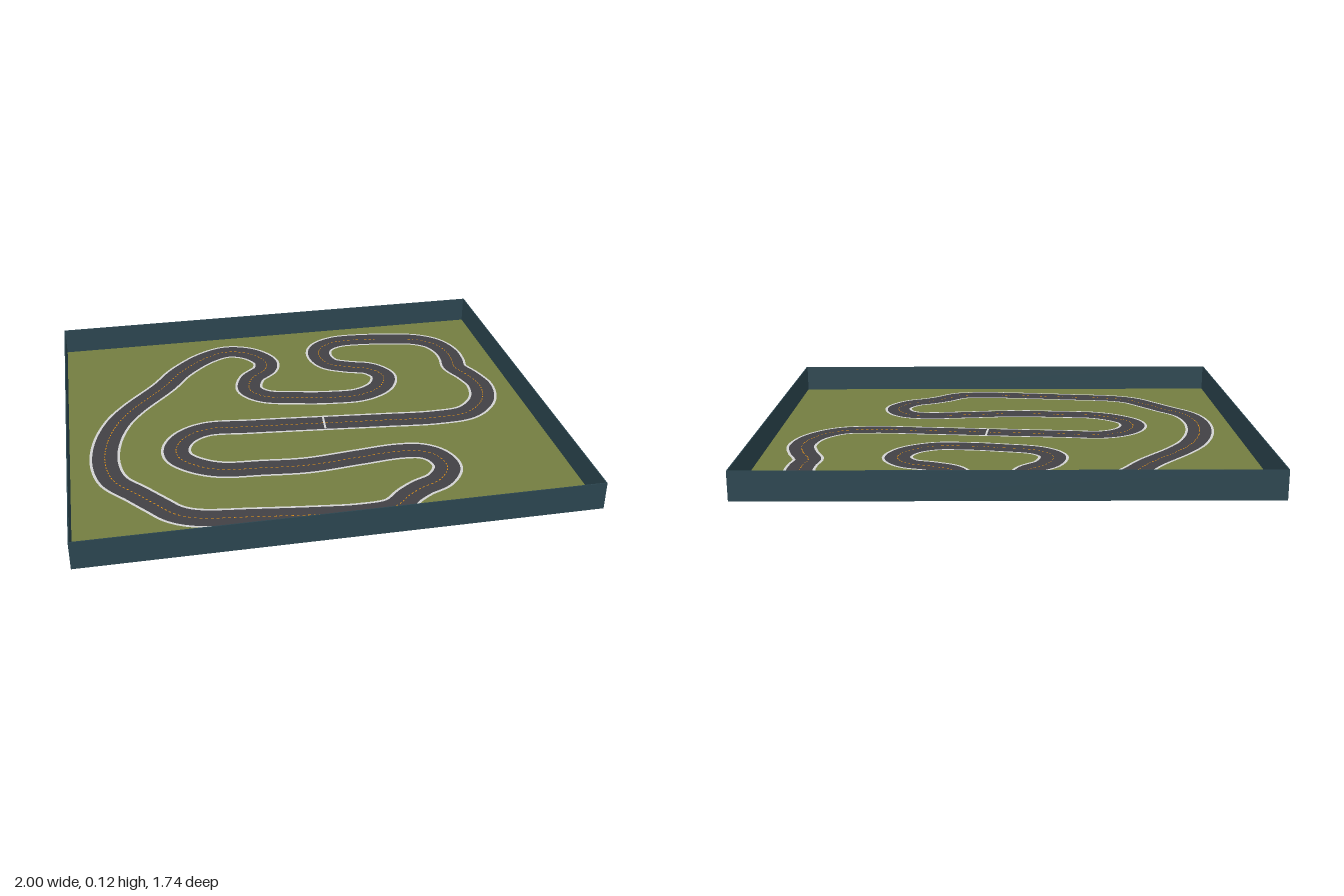
import * as THREE from 'three';

const HALF_X = 1, HALF_Z = 0.87, WALL_H = 0.115, WALL_T = 0.004;
const SAMPLES = 800;

// Centreline of the circuit as [x, z], starting at the start line
const CENTRELINE = [
  [0.09, 0.04], [0.35, 0.065], [0.57, 0.083], [0.72, 0.065], [0.82, -0.03], [0.855, -0.16], [0.833, -0.265],
  [0.797, -0.36], [0.807, -0.44], [0.805, -0.53], [0.765, -0.625], [0.69, -0.68], [0.59, -0.705], [0.43, -0.73],
  [0.3, -0.727], [0.22, -0.68], [0.193, -0.6], [0.22, -0.505], [0.3, -0.457], [0.395, -0.42], [0.443, -0.34],
  [0.405, -0.24], [0.3, -0.178], [0.165, -0.178], [0.03, -0.2], [-0.13, -0.245], [-0.185, -0.32], [-0.16, -0.425],
  [-0.085, -0.505], [-0.073, -0.585], [-0.137, -0.68], [-0.235, -0.717], [-0.342, -0.675], [-0.476, -0.55],
  [-0.567, -0.417], [-0.715, -0.24], [-0.785, -0.13], [-0.84, 0.03], [-0.855, 0.2], [-0.825, 0.335], [-0.743, 0.44],
  [-0.672, 0.53], [-0.61, 0.603], [-0.53, 0.645], [-0.315, 0.678], [-0.075, 0.71], [0.09, 0.725], [0.22, 0.712],
  [0.3, 0.645], [0.36, 0.605], [0.445, 0.563], [0.503, 0.477], [0.487, 0.39], [0.433, 0.34], [0.34, 0.325],
  [0.165, 0.34], [-0.05, 0.36], [-0.235, 0.345], [-0.395, 0.328], [-0.49, 0.28], [-0.556, 0.205], [-0.56, 0.125],
  [-0.513, 0.045], [-0.42, -0.003], [-0.235, 0.01],
];
const curve = new THREE.CatmullRomCurve3(
  CENTRELINE.map(([x, z]) => new THREE.Vector3(x, 0, z)), true, 'centripetal');
curve.arcLengthDivisions = 2000;

// Flat ribbon along the circuit between two sideways offsets; every step-th piece is drawn
function ribbon(from, to, y, step = 1) {
  const positions = [], index = [];
  for (let i = 0; i <= SAMPLES; i++) {
    const u = (i % SAMPLES) / SAMPLES;
    const p = curve.getPointAt(u), t = curve.getTangentAt(u);
    for (const d of [from, to]) positions.push(p.x - t.z * d, y, p.z + t.x * d);
    if (i < SAMPLES && i % step === 0) {
      const a = i * 2;
      index.push(a, a + 1, a + 2, a + 1, a + 3, a + 2);
    }
  }
  const geometry = new THREE.BufferGeometry();
  geometry.setAttribute('position', new THREE.Float32BufferAttribute(positions, 3));
  geometry.setIndex(index);
  geometry.setAttribute('normal', new THREE.Float32BufferAttribute(
    positions.map((_, i) => (i % 3 === 1 ? 1 : 0)), 3));
  return geometry;
}

function material(name, color, side = THREE.FrontSide) {
  const m = new THREE.MeshStandardMaterial({ color, side });
  m.name = name;
  return m;
}

export function createModel() {
  const group = new THREE.Group();
  group.name = 'raceTrack';
  const grass = material('grass green', 0x737d40, THREE.DoubleSide);
  const wall = material('wall slate', 0x2b454f);
  const asphalt = material('asphalt grey', 0x424145, THREE.DoubleSide);
  const white = material('line white', 0xd2d2d2, THREE.DoubleSide);
  const orange = material('dash orange', 0xe8920c, THREE.DoubleSide);

  function add(name, geometry, mat, x = 0, y = 0, z = 0) {
    const mesh = new THREE.Mesh(geometry, mat);
    mesh.name = name;
    mesh.position.set(x, y, z);
    group.add(mesh);
    return mesh;
  }

  // Ground sheet
  add('ground', new THREE.PlaneGeometry(2 * HALF_X, 2 * HALF_Z).rotateX(-Math.PI / 2), grass);

  // Thin walls around the field
  for (const s of [-1, 1]) {
    add(s > 0 ? 'frontWall' : 'backWall', new THREE.BoxGeometry(2 * HALF_X, WALL_H, WALL_T), wall,
      0, WALL_H / 2, s * (HALF_Z - WALL_T / 2));
    add(s > 0 ? 'leftWall' : 'rightWall', new THREE.BoxGeometry(WALL_T, WALL_H, 2 * (HALF_Z - WALL_T)), wall,
      s * (HALF_X - WALL_T / 2), WALL_H / 2, 0);
  }

  // Road surface with edge lines and a dashed centreline
  add('road', ribbon(-0.053, 0.053, 0.002), asphalt);
  add('innerEdgeLine', ribbon(-0.062, -0.051, 0.003), white);
  add('outerEdgeLine', ribbon(0.051, 0.062, 0.003), white);
  add('centreDashes', ribbon(-0.002, 0.002, 0.003, 2), orange);

  // Start line across the road
  const start = add('startLine', new THREE.PlaneGeometry(0.009, 0.1).rotateX(-Math.PI / 2), white, 0.085, 0.004, 0.04);
  start.rotation.y = -0.09;

  return group;
}
